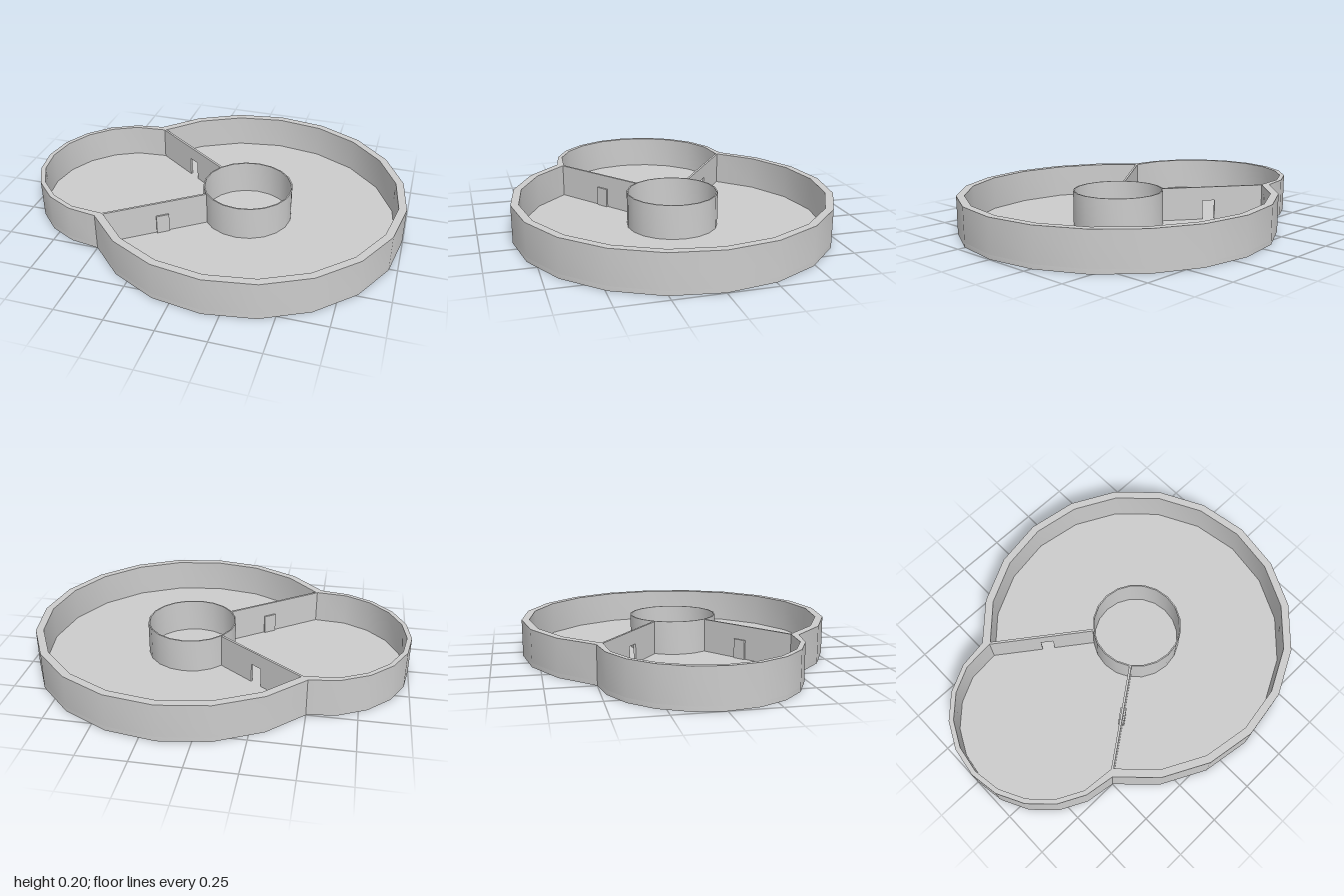
import * as THREE from 'three';
import { toCreasedNormals } from 'three/addons/utils/BufferGeometryUtils.js';

const HEIGHT = 0.2, FLOOR = 0.023, HUB_X = 0.165, LOBE_X = -0.5;
const material = new THREE.MeshStandardMaterial({ color: 0xcccccc });

// Points on a 20-sided circle, from step a to step b (18 degrees each)
function arc(cx, r, a, b) {
  const pts = [];
  for (let i = a; i <= b; i++) {
    const t = (i * Math.PI) / 10;
    pts.push(new THREE.Vector2(cx + r * Math.cos(t), r * Math.sin(t)));
  }
  return pts;
}

// Outline of the large round tray joined to the small lobe
function outline(bigR, lobeR, corner) {
  return [
    ...arc(HUB_X, bigR, -7, 7),
    new THREE.Vector2(...corner),
    ...arc(LOBE_X, lobeR, 6, 14),
    new THREE.Vector2(corner[0], -corner[1]),
  ];
}

// Extrude a flat plan upward, keeping gentle curves smooth
function raise(points, hole, height) {
  const shape = new THREE.Shape(points);
  if (hole) shape.holes.push(new THREE.Path(hole));
  const geo = new THREE.ExtrudeGeometry(shape, { depth: height, bevelEnabled: false });
  geo.rotateX(-Math.PI / 2);
  return toCreasedNormals(geo, 0.5);
}

function add(parent, name, geo) {
  const mesh = new THREE.Mesh(geo, material);
  mesh.name = name;
  parent.add(mesh);
  return mesh;
}

// Thin divider from the hub to the corner, with an optional doorway
function divider(length, doorway) {
  const shape = new THREE.Shape();
  const mid = length * 0.46, w = 0.033, top = 0.125;
  shape.moveTo(0, FLOOR - 0.005);
  if (doorway) {
    shape.lineTo(mid - w, FLOOR - 0.005);
    shape.lineTo(mid - w, top);
    shape.lineTo(mid + w, top);
    shape.lineTo(mid + w, FLOOR - 0.005);
  }
  shape.lineTo(length, FLOOR - 0.005);
  shape.lineTo(length, HEIGHT - 0.001);
  shape.lineTo(0, HEIGHT - 0.001);
  const geo = new THREE.ExtrudeGeometry(shape, { depth: 0.012, bevelEnabled: false });
  return geo.translate(0, 0, -0.006);
}

export function createModel() {
  const model = new THREE.Group();
  model.name = 'dividedTray';

  const outer = outline(0.833, 0.5, [-0.5, 0.5]);
  const inner = outline(0.792, 0.475, [-0.472, 0.468]);

  // Base plate and rim wall
  add(model, 'floor', raise(outer, null, FLOOR));
  add(model, 'outerWall', raise(outer, inner, HEIGHT - FLOOR)).position.y = FLOOR;

  // Thin open cylinder in the middle
  add(model, 'hub', raise(arc(HUB_X, 0.238, 0, 19), arc(HUB_X, 0.231, 0, 19), HEIGHT + 0.002));

  // Two dividers, one with a doorway and one with a closed gate
  for (const side of [1, -1]) {
    const dx = -0.455, dz = 0.333 * side;
    const length = Math.hypot(dx, dz);
    const group = new THREE.Group();
    group.name = side > 0 ? 'gatedDivider' : 'openDivider';
    group.position.set(-0.02, 0, 0.14 * side);
    group.rotation.y = Math.atan2(-dz, dx);
    add(group, 'dividerWall', divider(length, side < 0));
    if (side > 0) {
      const gate = add(group, 'gate', new THREE.BoxGeometry(0.068, 0.107, 0.03));
      gate.position.set(length * 0.44, 0.0715, 0);
    }
    model.add(group);
  }
  return model;
}
